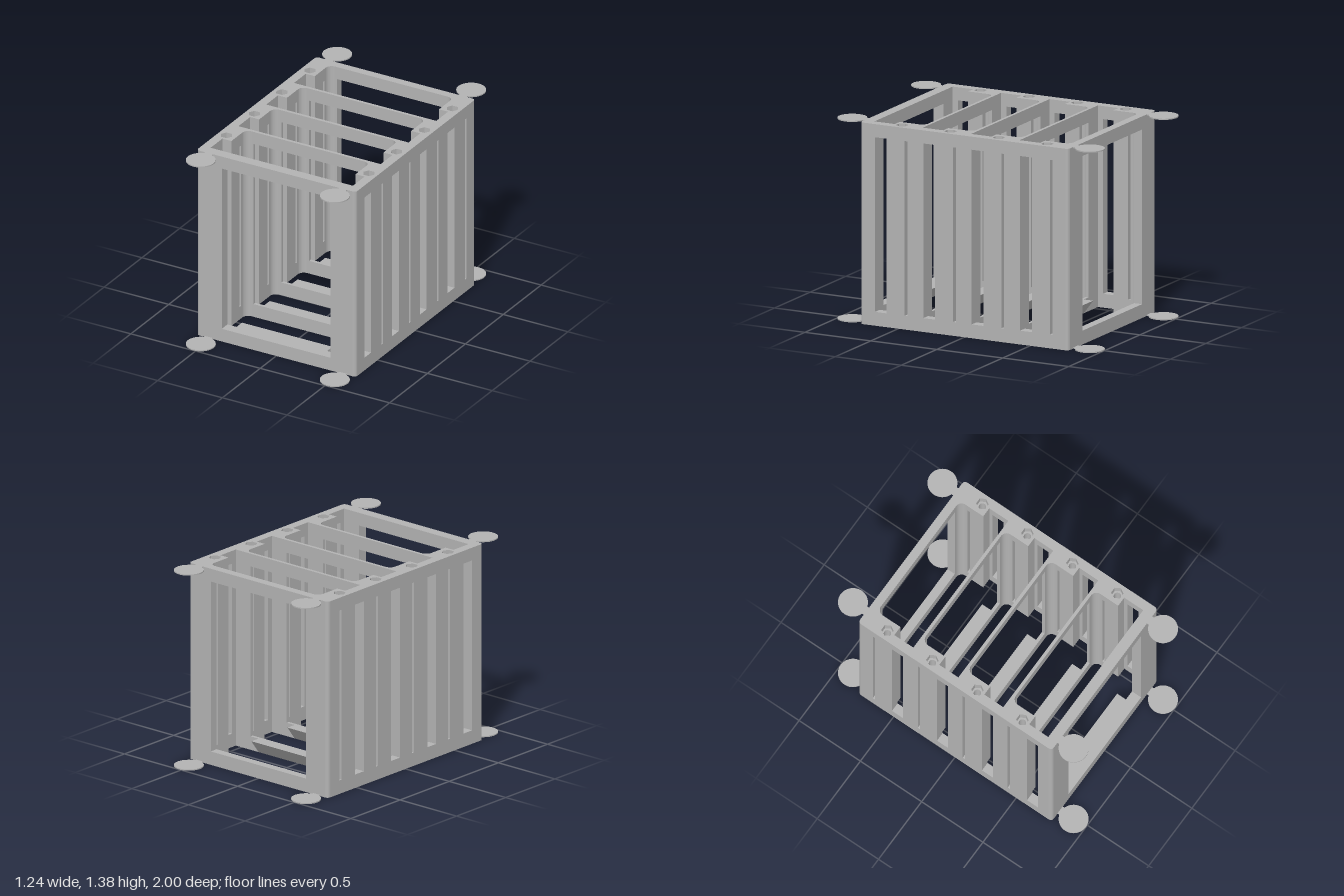
import * as THREE from 'three';

const W = 0.615, D = 0.79, H = 1.385;          // half width, half depth, height
const LOW = 0.095, HIGH = 1.295;               // window and slot limits
const NARROW = 0.48, WIDE = 0.55, WIN = 0.42;  // half widths of bays and window
const PITCH = 0.367, BACK = -0.73, BAY = 0.345, STEP = 0.19;
const FILLET = 0.045, ROUND = 0.025;
const SCREW_X = 0.55, SCREW_Z = 0.134;
const bays = [0, 1, 2, 3].map(i => BACK + PITCH * i);

export function createModel() {
  const grey = new THREE.MeshStandardMaterial({ color: 0xb3b3b3 });
  grey.name = 'grey plastic';
  const model = new THREE.Group();
  model.name = 'slottedRack';

  const add = (name, geometry) => {
    const mesh = new THREE.Mesh(geometry, grey);
    mesh.name = name;
    model.add(mesh);
    return mesh;
  };

  // Extrudes a plan outline (x, z) from y0 up to y1
  const slab = (name, shape, y0, y1) => {
    const g = new THREE.ExtrudeGeometry(shape, { depth: y1 - y0, bevelEnabled: false, curveSegments: 10 });
    g.rotateX(Math.PI / 2);
    g.translate(0, y1, 0);
    return add(name, g);
  };

  // Arc points for rounded corners, from angle a to b in degrees
  const arc = (cx, cz, r, a, b, n = 8) => Array.from({ length: n + 1 }, (_, i) => {
    const t = THREE.MathUtils.degToRad(a + (b - a) * i / n);
    return [cx + r * Math.cos(t), cz + r * Math.sin(t)];
  });
  const points = (list, s = 1) => list.map(([x, z]) => new THREE.Vector2(s * x, z));
  const ring = (x, z, r, sides) => new THREE.Path(points(arc(x, z, r, 0, 360, sides).slice(0, -1)));

  // Full plan with four bays and eight screw holes
  const plan = (radius, sides) => {
    const shape = new THREE.Shape(points([
      ...arc(W - ROUND, D - ROUND, ROUND, 0, 90), ...arc(ROUND - W, D - ROUND, ROUND, 90, 180),
      ...arc(ROUND - W, ROUND - D, ROUND, 180, 270), ...arc(W - ROUND, ROUND - D, ROUND, 270, 360),
    ]));
    for (const z of bays) {
      shape.holes.push(new THREE.Path(points([
        ...arc(FILLET - NARROW, z + FILLET, FILLET, 180, 270),
        ...arc(NARROW - FILLET, z + FILLET, FILLET, 270, 360),
        [NARROW, z + STEP], [WIDE, z + STEP], [WIDE, z + BAY],
        [-WIDE, z + BAY], [-WIDE, z + STEP], [-NARROW, z + STEP],
      ])));
      for (const s of [-1, 1]) shape.holes.push(ring(s * SCREW_X, z + SCREW_Z, radius, sides));
    }
    return shape;
  };

  // Bottom frame and top frame with hexagonal nut recesses
  const recess = H - 0.06;
  slab('bottomFrame', plan(0.025, 24), 0, LOW);
  slab('topFrame', plan(0.025, 24), HIGH, recess);
  slab('topFrameNutRecesses', plan(0.042, 6), recess, H);

  // Upright posts between the window and the side slots
  for (const s of [-1, 1]) {
    const post = (name, list, hole) => {
      const shape = new THREE.Shape(points(list, s));
      if (hole !== undefined) shape.holes.push(ring(s * SCREW_X, hole, 0.025, 24));
      slab(name, shape, LOW, HIGH);
    };
    // Inner fillet leading from a cross wall into the side of a bay
    const bayCorner = z => [[W, z + 0.06], [NARROW, z + 0.06],
      ...arc(NARROW - FILLET, z + FILLET, FILLET, 0, -90), [WIN, z]];

    post('backCornerPost', [[WIN, -D], ...arc(W - ROUND, ROUND - D, ROUND, -90, 0), ...bayCorner(BACK)]);
    bays.forEach((z, i) => {
      post('screwPost', [[W, z + 0.08], [W, z + 0.217], [WIDE, z + 0.217], [WIDE, z + STEP],
        [NARROW, z + STEP], [NARROW, z + 0.08]], z + SCREW_Z);
      const inner = [[WIN, z + BAY], [WIDE, z + BAY], [WIDE, z + 0.306], [W, z + 0.306]];
      if (i < 3) post('dividerPost', [...inner, ...bayCorner(z + PITCH)]);
      else post('frontCornerPost', [...inner, ...arc(W - ROUND, D - ROUND, ROUND, 0, 90), [WIN, D]]);
    });
  }

  // Sloping support ledges at the foot of each bay
  for (const z of bays) {
    const end = z + BAY;
    const tri = new THREE.Shape(points([[-end, 0], [-end, LOW], [0.072 - end, LOW]]));
    const g = new THREE.ExtrudeGeometry(tri, { depth: 0.7, bevelEnabled: false });
    g.rotateY(Math.PI / 2);
    g.translate(-0.35, 0, 0);
    add('supportLedge', g);
  }

  // Thin round corner pads, top and bottom, with short necks
  const t = 0.008;
  const disc = new THREE.CylinderGeometry(0.1, 0.1, t, 40);
  const neck = new THREE.BoxGeometry(0.06, t, 0.03);
  for (const y of [t / 2, H - t / 2]) for (const sx of [-1, 1]) for (const sz of [-1, 1]) {
    add('cornerPad', disc).position.set(sx * 0.518, y, sz * 0.9);
    add('padNeck', neck).position.set(sx * 0.518, y, sz * 0.8);
  }
  return model;
}
